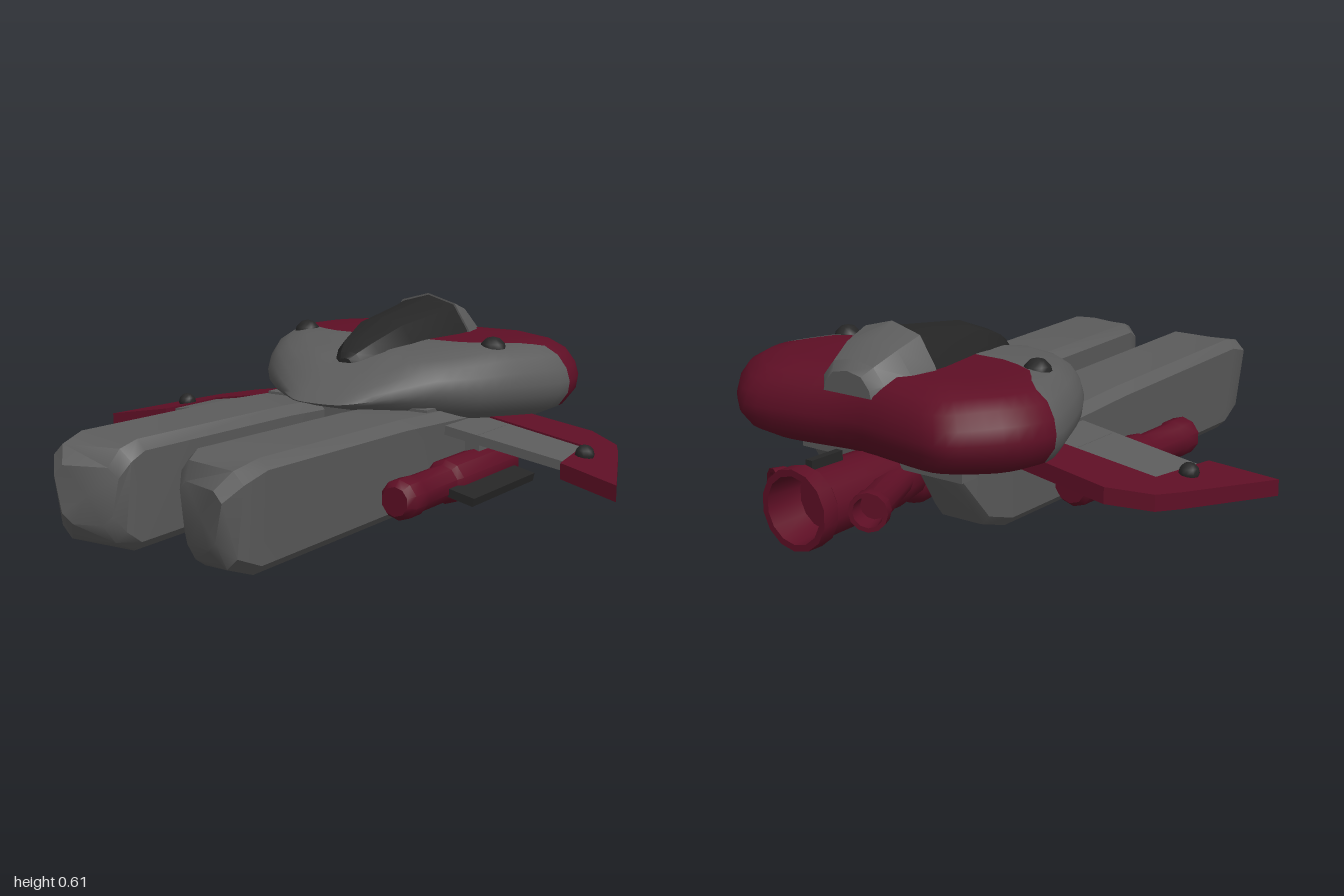
import * as THREE from 'three';
import { toCreasedNormals } from 'three/addons/utils/BufferGeometryUtils.js';

const V = (x, y, z) => new THREE.Vector3(x, y, z);
const mat = (name, color) => Object.assign(new THREE.MeshStandardMaterial({ color }), { name });

// Linear interpolation through [key, value] pairs sorted by key
function curve(pairs, t) {
  if (t <= pairs[0][0]) return pairs[0][1];
  for (let i = 1; i < pairs.length; i++) {
    const [a, va] = pairs[i - 1], [b, vb] = pairs[i];
    if (t <= b) return va + (vb - va) * (t - a) / (b - a);
  }
  return pairs[pairs.length - 1][1];
}

// Skin over equal-length rings, closed at both ends
function loft(rings, crease = 0.7) {
  const pos = [];
  const tri = (...pts) => pts.forEach(p => pos.push(p.x, p.y, p.z));
  const n = rings[0].length;
  const centre = r => r.reduce((s, p) => s.add(p), V(0, 0, 0)).divideScalar(n);
  const first = rings[0], last = rings[rings.length - 1];
  const c0 = centre(first), c1 = centre(last);
  for (let j = 0; j < n; j++) {
    const k = (j + 1) % n;
    for (let i = 0; i < rings.length - 1; i++) {
      const r = rings[i], s = rings[i + 1];
      tri(r[j], r[k], s[k]);
      tri(r[j], s[k], s[j]);
    }
    tri(c0, first[k], first[j]);
    tri(c1, last[j], last[k]);
  }
  const g = new THREE.BufferGeometry();
  g.setAttribute('position', new THREE.Float32BufferAttribute(pos, 3));
  return toCreasedNormals(g, crease);
}

// Cut a geometry in two along f = 0, keeping its normals
function split(geo, f) {
  const P = geo.attributes.position, N = geo.attributes.normal;
  return [-1, 1].map(sign => {
    const pos = [], nor = [];
    for (let i = 0; i < P.count; i += 3) {
      const v = [0, 1, 2].map(k => {
        const p = V().fromBufferAttribute(P, i + k);
        return { p, n: V().fromBufferAttribute(N, i + k), d: sign * f(p) };
      });
      const poly = [];
      v.forEach((a, k) => {
        const b = v[(k + 1) % 3];
        if (a.d >= 0) poly.push(a);
        if ((a.d >= 0) !== (b.d >= 0)) {
          const t = a.d / (a.d - b.d);
          poly.push({ p: a.p.clone().lerp(b.p, t), n: a.n.clone().lerp(b.n, t).normalize() });
        }
      });
      for (let k = 1; k < poly.length - 1; k++)
        for (const q of [poly[0], poly[k], poly[k + 1]]) { pos.push(...q.p.toArray()); nor.push(...q.n.toArray()); }
    }
    const g = new THREE.BufferGeometry();
    g.setAttribute('position', new THREE.Float32BufferAttribute(pos, 3));
    g.setAttribute('normal', new THREE.Float32BufferAttribute(nor, 3));
    return g;
  });
}

// Mirror across x = 0 with the corner order restored
function mirror(geo) {
  const g = geo.index ? geo.toNonIndexed() : geo.clone();
  for (const key of ['position', 'normal']) {
    const a = g.attributes[key];
    for (let i = 0; i < a.count; i += 3) {
      const [p, q, r] = [0, 1, 2].map(k => V().fromBufferAttribute(a, i + k));
      [p, r, q].forEach((v, k) => a.setXYZ(i + k, -v.x, v.y, v.z));
    }
  }
  return g;
}

export function createModel() {
  const model = new THREE.Group();
  model.name = 'spacecraft';
  const grey = mat('hull grey', 0x5c5c5c), red = mat('dark red', 0x5e0f25), dark = mat('near black', 0x262626);
  const add = (name, geo, m) => {
    const mesh = new THREE.Mesh(geo, m);
    mesh.name = name;
    model.add(mesh);
  };
  const pair = (name, geo, m) => {
    add(name + 'Left', geo, m);
    add(name + 'Right', mirror(geo), m);
  };
  const lathe = (pts, sides, crease = 0.75) =>
    toCreasedNormals(new THREE.LatheGeometry(pts.map(p => new THREE.Vector2(...p)), sides), crease);

  // Heart-shaped hull, built from outlines stacked upward
  const half = [[0.07, 0.125], [0.13, 0.095], [0.26, -0.01], [0.36, -0.11], [0.45, -0.24], [0.52, -0.39],
    [0.565, -0.54], [0.535, -0.67], [0.45, -0.77], [0.36, -0.825], [0.2, -0.81]];
  const outline = [[0, 0.13], ...half, [0, -0.78], ...half.slice().reverse().map(([x, z]) => [-x, z])];
  const spline = new THREE.SplineCurve([...outline, outline[0]].map(p => new THREE.Vector2(...p)));
  const plan = spline.getPoints(72).slice(0, -1);
  const top = [[-0.8, 0.47], [-0.7, 0.485], [-0.3, 0.485], [-0.075, 0.46], [0.13, 0.34]];
  const bottom = [[-0.8, 0.25], [-0.5, 0.235], [-0.2, 0.255], [0.13, 0.315]];
  const levels = [[0.4, 0], [0.8, 0], [0.93, 0.13], [0.99, 0.32], [1, 0.48], [0.98, 0.66], [0.93, 0.83],
    [0.85, 0.94], [0.72, 1], [0.5, 1], [0.25, 1]];
  const hull = loft(levels.map(([s, h]) => plan.map(p => {
    const z = -0.42 + (p.y + 0.42) * s;
    const lo = curve(bottom, z), hi = curve(top, z);
    return V(p.x * s, lo + (hi - lo) * h, z);
  })), 1);
  const edge = [[0, -0.345], [0.31, -0.35], [0.39, -0.42], [0.44, -0.52], [0.5, -0.52], [0.57, -0.54]];
  const [rear, front] = split(hull, p => p.z - (p.y < 0.36 ? -0.54 : curve(edge, Math.abs(p.x))));
  add('rearHull', rear, red);
  add('frontHull', front, grey);
  add('underHull', new THREE.BoxGeometry(0.62, 0.12, 0.6).translate(0, 0.25, -0.34), grey);

  // Canopy glass and the fairing behind it
  const arch = ([z, w, y]) => {
    const b = 0.43, h = y - b;
    return [[w, 0], [0.93 * w, 0.35], [0.6 * w, 0.84], [0, 1], [-0.6 * w, 0.84], [-0.93 * w, 0.35], [-w, 0]]
      .map(([x, t]) => V(x, b + h * t, z));
  };
  add('canopy', loft([[-0.57, 0.168, 0.604], [-0.52, 0.17, 0.59], [-0.26, 0.135, 0.557], [-0.12, 0.09, 0.505],
    [-0.06, 0.05, 0.47], [-0.04, 0.025, 0.45]].map(arch), 0.5), dark);
  add('canopyFairing', loft([[-0.77, 0.09, 0.5], [-0.74, 0.125, 0.53], [-0.66, 0.16, 0.575],
    [-0.57, 0.175, 0.61]].map(arch), 0.5), grey);

  // Twin forward prongs: z, inner x, outer x, low y, high y, bevel, skew
  const prong = loft([
    [-0.63, 0.12, 0.31, 0.19, 0.25, 0.02, 0], [-0.52, 0.09, 0.34, 0.03, 0.27, 0.03, 0],
    [-0.42, 0.08, 0.35, 0, 0.28, 0.03, 0], [0.15, 0.08, 0.35, 0, 0.312, 0.03, 0],
    [0.86, 0.08, 0.35, 0, 0.33, 0.03, 0], [0.955, 0.09, 0.34, 0.035, 0.31, 0.035, 0.25],
    [1, 0.11, 0.3, 0.09, 0.26, 0.03, 0.35],
  ].map(([z, a, b, lo, hi, c, k]) =>
    [[b - 0.025, lo + c], [b, hi - c], [b - c, hi], [a + c, hi], [a, hi - c], [a + 0.02, lo + c],
      [a + 0.02 + c, lo], [b - 0.025 - c, lo]].map(([x, y]) => V(x, y, z - k * Math.max(0, 0.28 - x)))), 0.6);
  pair('prong', prong, grey);

  // Drooping wings: red edge frame and thinner grey panel
  const plate = (pts, thick, drop) => {
    const g = new THREE.ExtrudeGeometry(new THREE.Shape(pts.map(p => new THREE.Vector2(...p))),
      { depth: thick, bevelEnabled: false }).rotateX(Math.PI / 2);
    const p = g.attributes.position;
    for (let i = 0; i < p.count; i++) p.setY(i, p.getY(i) + 0.167 - drop + (0.97 - p.getX(i)) * 0.155);
    g.computeVertexNormals();
    return g;
  };
  pair('wingFrame', plate([[0.38, -0.47], [0.68, -0.475], [0.8, -0.4], [0.84, -0.32], [0.975, 0],
    [0.77, -0.05], [0.735, -0.29], [0.38, -0.31]], 0.05, 0), red);
  pair('wingPanel', plate([[0.25, -0.33], [0.74, -0.31], [0.76, -0.09], [0.25, -0.09]], 0.03, 0.006), grey);

  // Round studs on hull and wings
  const stud = r => new THREE.SphereGeometry(r, 10, 6);
  pair('hullStud', stud(0.045).translate(0.37, 0.467, -0.36), dark);
  pair('wingStud', stud(0.031).translate(0.785, 0.2, -0.19), dark);

  // Guns under the wings with side fins and pylons
  const gun = lathe([[0, -0.3], [0.055, -0.3], [0.07, -0.28], [0.07, 0.08], [0.057, 0.1], [0.057, 0.27],
    [0.062, 0.285], [0.062, 0.35], [0.045, 0.375], [0, 0.375]], 10);
  pair('gun', gun.rotateX(Math.PI / 2).translate(0.447, 0.122, 0), red);
  pair('gunFin', new THREE.BoxGeometry(0.09, 0.026, 0.4).rotateZ(-0.22).translate(0.54, 0.1, -0.05), dark);
  pair('gunPylon', new THREE.BoxGeometry(0.05, 0.07, 0.18).translate(0.44, 0.205, -0.19), grey);

  // Main engine with hollow nozzle
  const engine = lathe([[0, 0.46], [0.05, 0.47], [0.085, 0.51], [0.1, 0.6], [0.105, 0.93], [0.12, 0.945],
    [0.12, 1], [0.1, 1], [0.09, 0.88], [0, 0.88]], 14);
  add('mainEngine', engine.rotateX(-Math.PI / 2).translate(0, 0.147, 0), red);
  add('engineNose', new THREE.SphereGeometry(0.088, 12, 8).translate(0, 0.118, -0.48), red);
  add('engineRidge', new THREE.BoxGeometry(0.024, 0.04, 0.125).translate(0, 0.257, -0.87), dark);

  // Small side engines, turned outward
  const small = lathe([[0, -0.3], [0.05, -0.3], [0.05, -0.05], [0.058, -0.04], [0.058, 0], [0.045, 0],
    [0.04, -0.06], [0, -0.06]], 12);
  pair('sideEngine', small.rotateX(-Math.PI / 2).rotateY(-0.44).translate(0.182, 0.15, -0.895), red);

  return model;
}
